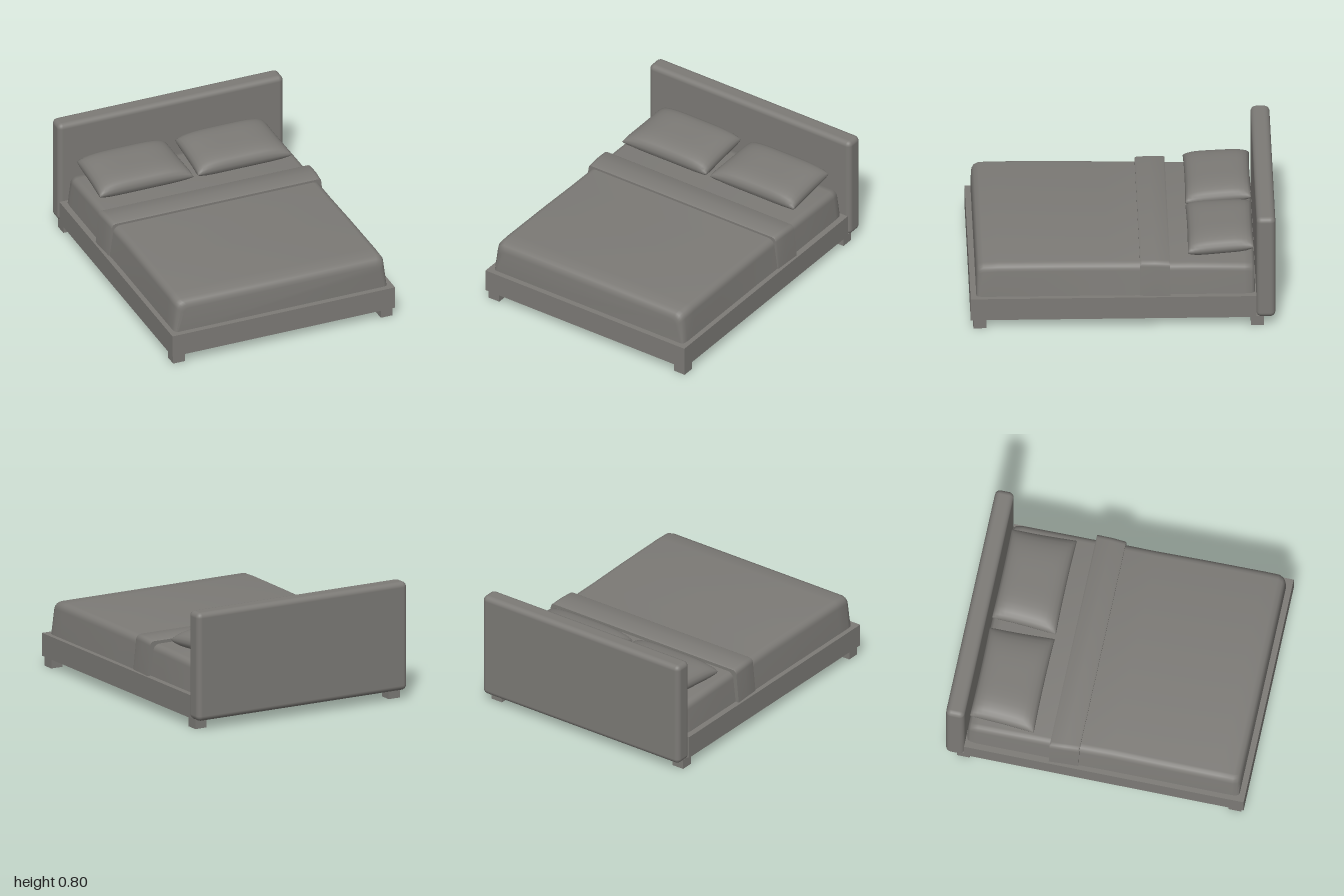
import * as THREE from 'three';
import { mergeVertices, toCreasedNormals } from 'three/addons/utils/BufferGeometryUtils.js';
import { RoundedBoxGeometry } from 'three/addons/geometries/RoundedBoxGeometry.js';

const BASE_Y = 0.215; // top of the bed frame, where the bedding starts

// Rounded-top bedding slab. Each section is [z, half width at base, half width at top, top y, corner radius], front to back.
function bedding(sections) {
  const pos = [], idx = [], steps = 5;
  let n = 0;
  for (const [z, base, top, y, r] of sections) {
    const half = [[base, BASE_Y]];
    for (let i = 0; i <= steps; i++) {
      const a = (i / steps) * Math.PI / 2;
      half.push([top - r + r * Math.cos(a), y - r + r * Math.sin(a)]);
    }
    const ring = [...half.map(([x, h]) => [-x, h]), ...half.slice().reverse()];
    n = ring.length;
    for (const [x, h] of ring) pos.push(x, h, z);
  }
  const last = (sections.length - 1) * n;
  for (let s = 0; s < last; s += n) {
    for (let j = 0; j < n; j++) {
      const k = (j + 1) % n;
      idx.push(s + j, s + k, s + n + j, s + k, s + n + k, s + n + j);
    }
  }
  for (let j = 1; j < n - 1; j++) idx.push(0, j + 1, j, last, last + j, last + j + 1);
  const g = new THREE.BufferGeometry();
  g.setAttribute('position', new THREE.Float32BufferAttribute(pos, 3));
  g.setIndex(idx);
  return toCreasedNormals(g, 0.8);
}

// Pillow: a box squeezed to thin seams, tilted up towards the headboard
function pillowGeometry() {
  let g = new THREE.BoxGeometry(2, 2, 2, 18, 1, 14);
  g.deleteAttribute('uv');
  g.deleteAttribute('normal');
  const p = g.attributes.position;
  for (let i = 0; i < p.count; i++) {
    const u = Math.sin(p.getX(i) * Math.PI / 2), v = Math.sin(p.getZ(i) * Math.PI / 2);
    const puff = Math.pow(Math.max(0, (1 - u ** 4) * (1 - v ** 4)), 0.42);
    const x = u * (0.325 + 0.01 * v) * (1 - 0.02 * (1 - v * v));
    const y = -0.014 * v + Math.sign(p.getY(i)) * 0.071 * puff - 0.012 * u ** 4;
    const z = v * 0.217 * (1 - 0.02 * (1 - u * u));
    p.setXYZ(i, x, y, z);
  }
  g = mergeVertices(g, 1e-5);
  g.computeVertexNormals();
  return g;
}

export function createModel() {
  const bed = new THREE.Group();
  bed.name = 'bed';
  const grey = new THREE.MeshStandardMaterial({ color: 0x7c7a76 });
  grey.name = 'warm grey';

  const add = (name, geometry, x = 0, y = 0, z = 0) => {
    const mesh = new THREE.Mesh(geometry, grey);
    mesh.name = name;
    mesh.position.set(x, y, z);
    bed.add(mesh);
    return mesh;
  };

  // Frame, headboard and feet
  add('frame', new THREE.BoxGeometry(1.59, 0.155, 1.875), -0.005, 0.1425, 0.0625);
  add('headboard', new RoundedBoxGeometry(1.61, 0.735, 0.125, 3, 0.035), 0, 0.4325, -0.9375);
  for (const x of [-0.745, 0.738]) {
    for (const z of [0.94, -0.882]) add('foot', new THREE.BoxGeometry(0.085, 0.066, 0.085), x, 0.033, z);
  }

  // Mattress, showing at the head end
  add('mattress', bedding([
    [-0.11, 0.755, 0.735, 0.43, 0.045],
    [-0.45, 0.755, 0.735, 0.428, 0.045],
    [-0.80, 0.755, 0.735, 0.42, 0.045],
    [-0.845, 0.75, 0.73, 0.412, 0.045],
    [-0.862, 0.74, 0.72, 0.395, 0.045],
    [-0.866, 0.73, 0.71, 0.375, 0.045],
  ]), -0.005);

  // Duvet over the lower part of the bed
  add('duvet', bedding([
    [0.962, 0.735, 0.70, 0.385, 0.04],
    [0.958, 0.75, 0.72, 0.41, 0.045],
    [0.945, 0.758, 0.735, 0.43, 0.05],
    [0.915, 0.762, 0.745, 0.442, 0.05],
    [0.82, 0.762, 0.745, 0.446, 0.05],
    [0.40, 0.762, 0.742, 0.444, 0.05],
    [0.10, 0.762, 0.738, 0.44, 0.05],
    [-0.14, 0.765, 0.74, 0.436, 0.05],
  ]), -0.005);

  // Turned-back fold across the bed
  add('duvetFold', bedding([
    [-0.113, 0.77, 0.748, 0.452, 0.03],
    [-0.125, 0.772, 0.752, 0.458, 0.035],
    [-0.21, 0.775, 0.758, 0.46, 0.035],
    [-0.30, 0.78, 0.76, 0.456, 0.035],
    [-0.31, 0.78, 0.76, 0.45, 0.03],
  ]), -0.005);

  // Two pillows
  const pillow = pillowGeometry();
  add('rightPillow', pillow, -0.368, 0.505, -0.645);
  add('leftPillow', pillow, 0.333, 0.505, -0.645);

  return bed;
}
